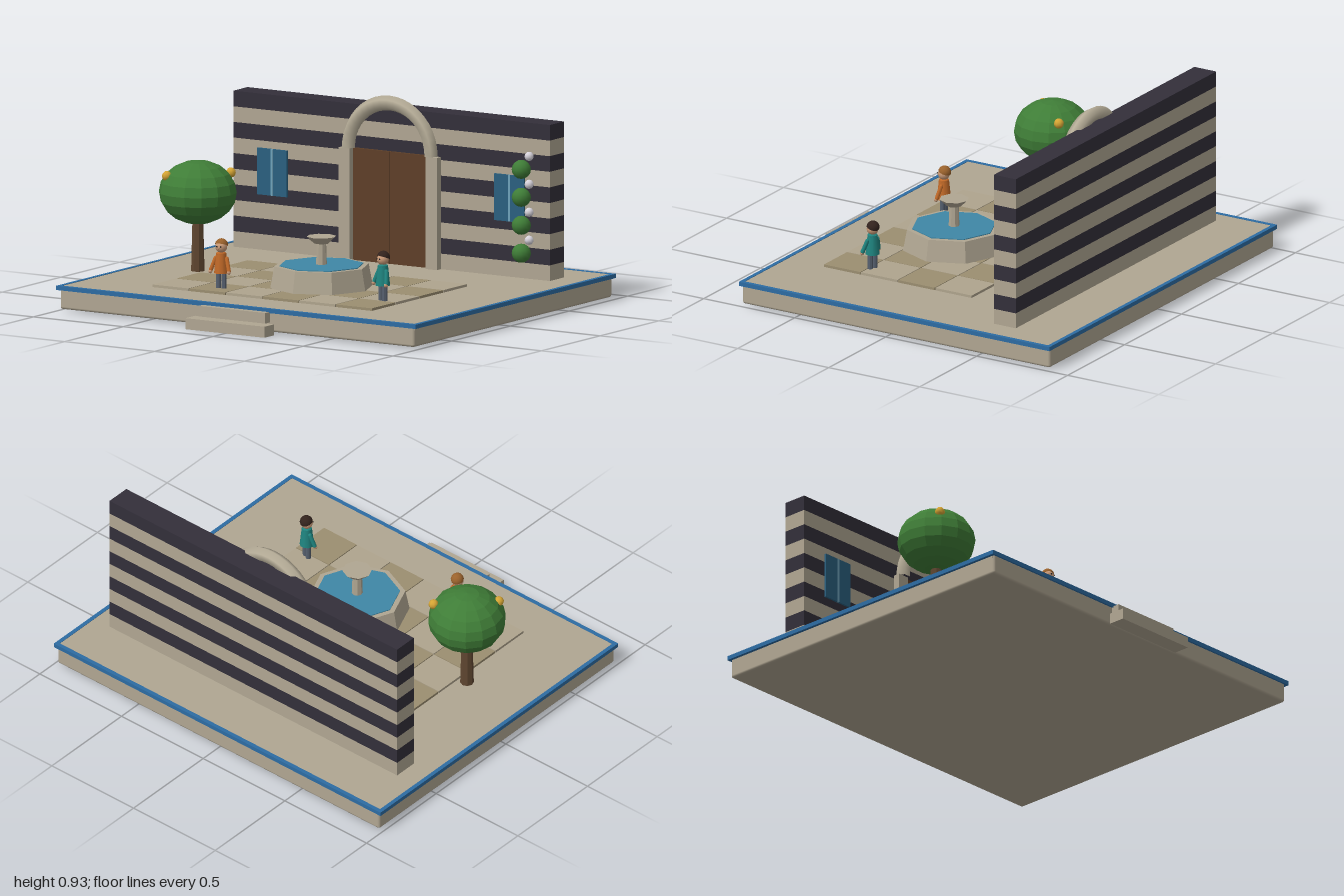
import * as THREE from 'three';
import { RoundedBoxGeometry } from 'three/addons/geometries/RoundedBoxGeometry.js';

const mats = {};
function mat(color, flat = false) {
  const key = color + (flat ? 'f' : 's');
  return (mats[key] ??= new THREE.MeshStandardMaterial({ color, flatShading: flat }));
}
const STONE = 0xb0a692, DARK = 0x332f3a, BLUE = 0x2d6ca3, GREEN = 0x3f7d37;

function add(parent, name, geometry, material, x = 0, y = 0, z = 0) {
  const mesh = new THREE.Mesh(geometry, material);
  mesh.name = name;
  mesh.position.set(x, y, z);
  parent.add(mesh);
  return mesh;
}

// Box given by its limits on each axis
function box(parent, name, color, [x0, x1], [y0, y1], [z0, z1]) {
  return add(parent, name, new THREE.BoxGeometry(x1 - x0, y1 - y0, z1 - z0), mat(color),
    (x0 + x1) / 2, (y0 + y1) / 2, (z0 + z1) / 2);
}

// Upright cylinder standing on y0
function post(parent, name, color, rTop, rBottom, y0, y1, x, z, sides = 8) {
  return add(parent, name, new THREE.CylinderGeometry(rTop, rBottom, y1 - y0, sides),
    mat(color, sides <= 8), x, (y0 + y1) / 2, z);
}

function ball(parent, name, color, r, x, y, z, w = 12, h = 10, flat = false) {
  return add(parent, name, new THREE.SphereGeometry(r, w, h), mat(color, flat), x, y, z);
}

function group(parent, name) {
  const g = new THREE.Group();
  g.name = name;
  parent.add(g);
  return g;
}

function buildBase(root) {
  const g = group(root, 'base');
  add(g, 'slab', new RoundedBoxGeometry(1.97, 0.1, 1.69, 2, 0.012), mat(STONE), 0, 0.06, -0.047);
  box(g, 'floor', STONE, [-0.985, 0.985], [0.09, 0.118], [-0.885, 0.79]);
  // Blue edging
  for (const s of [-1, 1]) {
    box(g, 'sideTrim', BLUE, s < 0 ? [-1, -0.98] : [0.98, 1], [0.1, 0.12], [-0.9, 0.807]);
  }
  box(g, 'frontTrim', BLUE, [-0.98, 0.98], [0.1, 0.12], [0.787, 0.807]);
  box(g, 'backTrim', BLUE, [-0.98, 0.98], [0.1, 0.12], [-0.9, -0.88]);
  box(g, 'upperStep', STONE, [-0.185, 0.185], [0.055, 0.105], [0.78, 0.84]);
  box(g, 'lowerStep', STONE, [-0.22, 0.22], [0, 0.052], [0.818, 0.9]);
}

function buildPaving(root) {
  const g = group(root, 'paving');
  const step = 0.204;
  for (let i = 0; i < 6; i++) {
    for (let j = 0; j < 4; j++) {
      const color = (i + j) % 2 ? 0xafa48d : 0x9b8e70;
      add(g, 'tile', new THREE.BoxGeometry(0.2, 0.012, 0.2), mat(color),
        (i - 2.5) * step, 0.124, 0.177 + (j - 1.5) * step);
    }
  }
}

function buildWall(root) {
  const g = group(root, 'wall');
  const bands = 10, y0 = 0.128, h = 0.0737;
  for (let i = 0; i < bands; i++) {
    box(g, 'stripe', i % 2 ? DARK : STONE, [-0.88, 0.88], [y0 + i * h, y0 + (i + 1) * h], [-0.64, -0.52]);
  }
  // Doorway with two leaves, jambs and arch
  for (const s of [-1, 1]) {
    add(g, 'doorLeaf', new THREE.BoxGeometry(0.203, 0.53, 0.02), mat(0x5e3f28), s * 0.103, 0.395, -0.515);
    add(g, 'jamb', new THREE.BoxGeometry(0.062, 0.53, 0.035), mat(STONE), s * 0.243, 0.393, -0.504);
  }
  add(g, 'arch', new THREE.TorusGeometry(0.23, 0.035, 6, 20, Math.PI), mat(0xb5ac97), 0, 0.66, -0.505);
  // Shuttered windows
  for (const s of [-1, 1]) {
    for (const t of [-1, 1]) {
      add(g, 'shutter', new THREE.BoxGeometry(0.078, 0.22, 0.012), mat(0x2a6080), s * 0.66 + t * 0.044, 0.5, -0.516);
    }
    add(g, 'windowMullion', new THREE.BoxGeometry(0.012, 0.22, 0.014), mat(0x6fa3bb), s * 0.66, 0.5, -0.516);
  }
  // Climbing plant
  for (let i = 0; i < 4; i++) {
    ball(g, 'vineLeaves', GREEN, 0.045, 0.738, 0.25 + i * 0.132, -0.495, 12, 8);
    ball(g, 'vineBlossom', 0xd8d4dc, 0.022, 0.78, 0.315 + i * 0.132, -0.497, 8, 6);
  }
}

function buildFountain(root) {
  const g = group(root, 'fountain');
  const x = 0.08, z = 0.2;
  post(g, 'basin', STONE, 0.225, 0.245, 0.125, 0.232, x, z);
  post(g, 'water', 0x3f87a6, 0.2, 0.2, 0.225, 0.236, x, z);
  post(g, 'pedestal', STONE, 0.022, 0.026, 0.23, 0.345, x, z);
  post(g, 'bowl', STONE, 0.07, 0.035, 0.335, 0.368, x, z);
}

function buildTree(root) {
  const g = group(root, 'tree');
  const x = -0.66, z = 0.12;
  post(g, 'trunk', 0x5f4630, 0.025, 0.032, 0.125, 0.4, x, z);
  ball(g, 'crown', GREEN, 0.183, x, 0.497, z, 14, 10, true).scale.y = 0.82;
  for (const [fx, fy, fz] of [[-0.545, 0.585, 0.015], [-0.757, 0.58, 0.235]]) {
    ball(g, 'fruit', 0xd5a534, 0.024, fx, fy, fz, 8, 6);
  }
}

// Small standing figure facing +z before it is turned
function buildFigure(root, name, x, z, turn, shirt, hair) {
  const g = group(root, name);
  g.position.set(x, 0.128, z);
  g.rotation.y = turn;
  for (const s of [-1, 1]) {
    post(g, 'leg', 0x56606f, 0.013, 0.013, 0, 0.085, s * 0.014, 0, 8);
    const arm = add(g, 'arm', new THREE.CapsuleGeometry(0.01, 0.06, 3, 8), mat(shirt), s * 0.038, 0.115, 0.008);
    arm.rotation.set(-0.25, 0, s * 0.3);
    ball(g, 'hand', 0xc99a78, 0.01, s * 0.048, 0.08, 0.018, 8, 6);
    ball(g, 'eye', 0x222222, 0.004, s * 0.01, 0.2, 0.026, 6, 4);
  }
  add(g, 'torso', new THREE.CylinderGeometry(0.024, 0.034, 0.095, 10), mat(shirt), 0, 0.12, 0);
  ball(g, 'shoulders', shirt, 0.025, 0, 0.163, 0, 10, 6).scale.y = 0.5;
  ball(g, 'head', 0xc99a78, 0.028, 0, 0.196, 0);
  ball(g, 'nose', 0xc99a78, 0.005, 0, 0.193, 0.029, 6, 4);
  const cap = new THREE.SphereGeometry(0.031, 12, 6, 0, Math.PI * 2, 0, Math.PI * 0.5);
  const top = add(g, 'hair', cap, mat(hair), 0, 0.205, -0.003);
  top.material.side = THREE.DoubleSide;
  top.rotation.x = -0.35;
}

export function createModel() {
  const root = new THREE.Group();
  root.name = 'courtyard';
  buildBase(root);
  buildPaving(root);
  buildWall(root);
  buildFountain(root);
  buildTree(root);
  buildFigure(root, 'orangeFigure', -0.29, 0.487, 0.12, 0xc26a28, 0x9a622c);
  buildFigure(root, 'tealFigure', 0.53, 0.366, -0.36, 0x1f8580, 0x33231d);
  return root;
}
